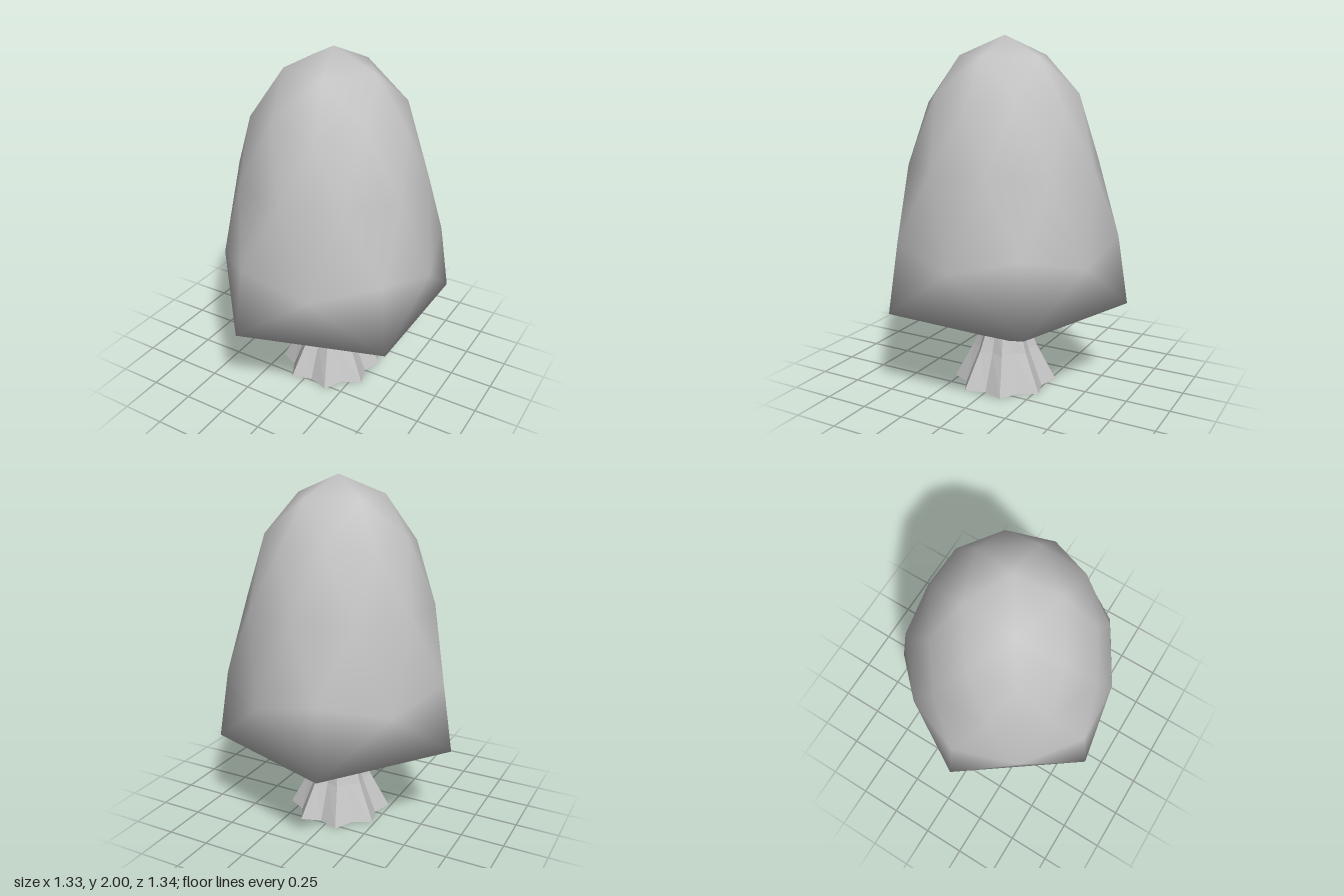
import * as THREE from 'three';

const CX = 0.04; // shared vertical axis of canopy and trunk

// Point on a horizontal circle round the axis (angle in degrees)
function polar(r, y, deg) {
  const a = THREE.MathUtils.degToRad(deg);
  return [CX + r * Math.cos(a), y, r * Math.sin(a)];
}

// Stretched, once-subdivided icosahedron with a flared lower ring
function canopyGeometry() {
  const pos = [];
  const add = (p) => pos.push(...p) / 3 - 1;
  const ring = (n, r, y, start) => {
    const ids = Array.from({ length: n }, (_, i) => add(polar(r, y, start + (360 / n) * i)));
    return (i) => ids[(i + n) % n];
  };
  const top = add([CX + 0.005, 2, 0]);
  const A = ring(5, 0.257, 1.89, 0);
  const M = ring(5, 0.41, 1.69, 36);
  const U = ring(5, 0.44, 1.63, 0);
  const E = ring(10, 0.54, 1.3, 18);
  const L = ring(5, 0.645, 0.9, 36);
  const N = ring(5, 0.62, 0.81, 0);
  const S = ring(5, 0.705, 0.51, 36);
  const bottom = add([CX, 0.23, 0]);

  const idx = [];
  const tri = (a, b, c) => idx.push(a, b, c);
  for (let i = 0; i < 5; i++) {
    const j = i + 1, e = 2 * i;
    // cap
    tri(top, A(j), A(i));
    tri(A(i), A(j), M(i));
    tri(A(i), M(i), U(i));
    tri(A(j), U(j), M(i));
    // sides pointing down
    tri(M(i), E(e + 1), E(e));
    tri(U(i), M(i), E(e));
    tri(M(i), U(j), E(e + 1));
    tri(E(e), E(e + 1), L(i));
    // sides pointing up
    tri(U(i), E(e), E(e - 1));
    tri(E(e), L(i), N(i));
    tri(E(e - 1), N(i), L(i - 1));
    tri(E(e), N(i), E(e - 1));
    // flared underside
    tri(L(i), N(j), S(i));
    tri(N(j), L(j), S(j));
    tri(N(j), S(j), S(i));
    tri(S(i), S(j), bottom);
  }
  const g = new THREE.BufferGeometry();
  g.setAttribute('position', new THREE.Float32BufferAttribute(pos, 3));
  g.setIndex(idx);
  g.computeVertexNormals();
  return g;
}

// Eight-pointed fluted trunk, flaring at the foot
function trunkGeometry() {
  const levels = [[0, 0.3, 0.24], [0.21, 0.188, 0.155], [0.34, 0.135, 0.115]]; // y, ridge, groove
  const n = 16;
  const pos = [];
  const pt = (k, i) => polar(levels[k][i % 2 ? 1 : 2], levels[k][0], 22.5 * i);
  for (let i = 0; i < n; i++) {
    const j = (i + 1) % n;
    for (let k = 0; k < levels.length - 1; k++) {
      const a = pt(k, i), b = pt(k + 1, i), c = pt(k + 1, j), d = pt(k, j);
      pos.push(...a, ...b, ...c, ...a, ...c, ...d);
    }
    pos.push(CX, 0, 0, ...pt(0, i), ...pt(0, j)); // base
  }
  const g = new THREE.BufferGeometry();
  g.setAttribute('position', new THREE.Float32BufferAttribute(pos, 3));
  g.computeVertexNormals();
  return g;
}

export function createModel() {
  const grey = new THREE.MeshStandardMaterial({ color: 0xc4c4c4 });
  grey.name = 'light grey';

  const group = new THREE.Group();
  group.name = 'tree';

  const canopy = new THREE.Mesh(canopyGeometry(), grey);
  canopy.name = 'canopy';
  const trunk = new THREE.Mesh(trunkGeometry(), grey);
  trunk.name = 'trunk';
  group.add(canopy, trunk);
  return group;
}
